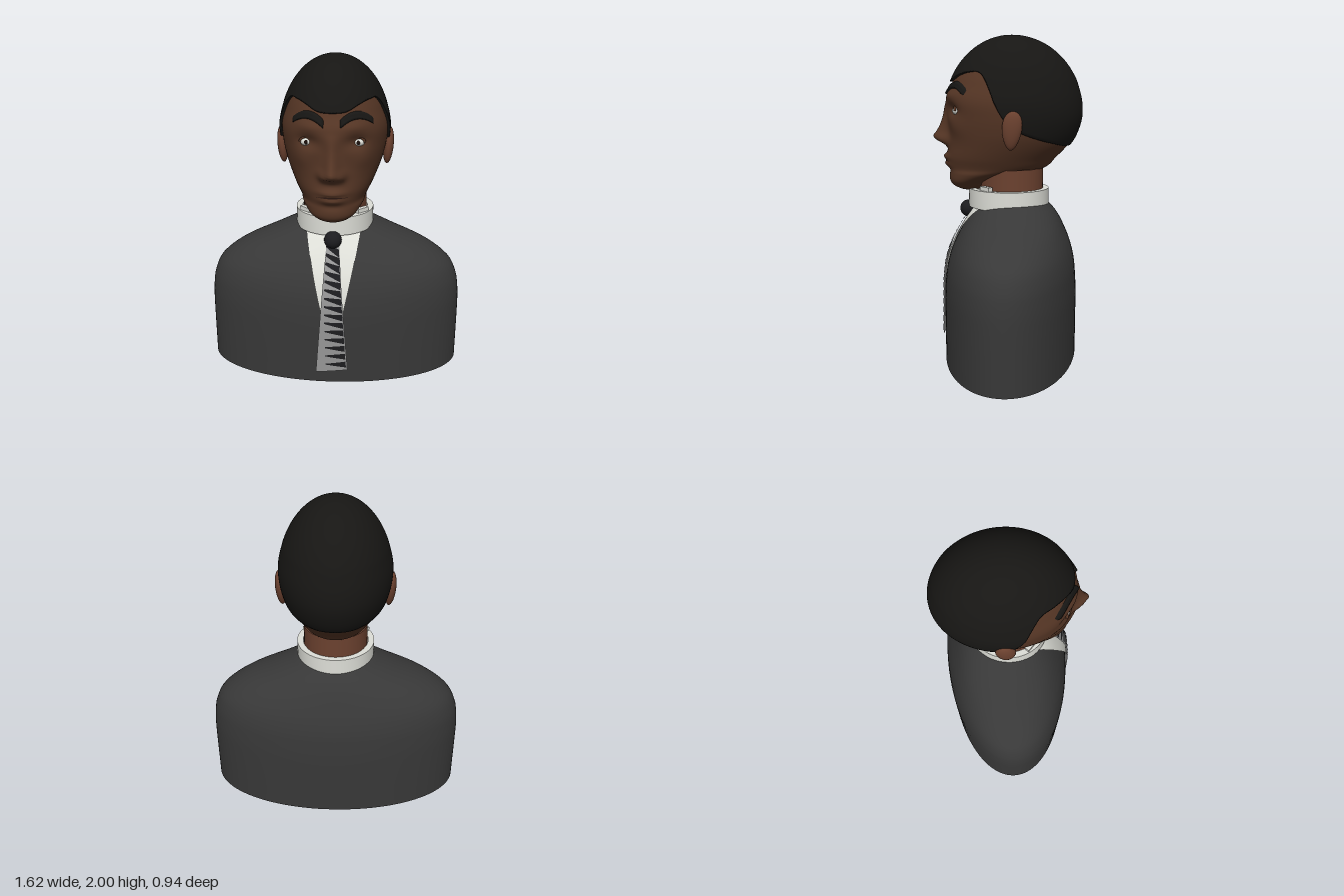
import * as THREE from 'three';
import { mergeVertices, toCreasedNormals } from 'three/addons/utils/BufferGeometryUtils.js';

const SKIN = 0x563625, EAR_SKIN = 0x6b412f, HAIR = 0x171614, JACKET = 0x383838;
const WHITE = 0xdedfd8, TIE = 0x969696, DARK = 0x1c1c1f;

// Cross-sections: [height, half width, front z, back z]
const HEAD = [
  [1.035, 0.01, 0.24, 0.21], [1.045, 0.06, 0.29, 0.17], [1.07, 0.105, 0.34, 0.14], [1.1, 0.14, 0.36, 0.11],
  [1.15, 0.185, 0.365, -0.08], [1.18, 0.2, 0.37, -0.23], [1.25, 0.238, 0.378, -0.31], [1.33, 0.275, 0.368, -0.385],
  [1.4, 0.3, 0.364, -0.425], [1.5, 0.32, 0.372, -0.453], [1.6, 0.323, 0.38, -0.45],
];
// Domed skull above the brow
for (let i = 0; i <= 12; i++) {
  const a = THREE.MathUtils.degToRad(24 + 5.5 * i), c = Math.cos(a);
  HEAD.push([1.52 + 0.465 * Math.sin(a), 0.326 * c, 0.405 * c - 0.03, -0.428 * c - 0.03]);
}
const TORSO = [
  [0, 0.81, 0.385, -0.445], [0.4, 0.81, 0.385, -0.445], [0.5, 0.805, 0.38, -0.44], [0.6, 0.787, 0.366, -0.43],
  [0.7, 0.735, 0.335, -0.405], [0.8, 0.6, 0.285, -0.365], [0.88, 0.42, 0.235, -0.325], [0.94, 0.29, 0.19, -0.28],
  [0.97, 0.225, 0.15, -0.24], [0.985, 0.12, 0.08, -0.16],
];
// Hairline height by angle from the front, in degrees
const HAIRLINE = [[0, 1.71], [15, 1.717], [30, 1.748], [45, 1.766], [62, 1.757], [74, 1.655], [85, 1.5],
  [103, 1.41], [150, 1.335], [180, 1.33]];

// Smooth interpolation of table column c at key k
function sample(rows, k, c) {
  const n = rows.length - 1;
  k = THREE.MathUtils.clamp(k, rows[0][0], rows[n][0]);
  let i = 0;
  while (i < n - 1 && k > rows[i + 1][0]) i++;
  const slope = j => {
    const a = rows[Math.max(j - 1, 0)], b = rows[Math.min(j + 1, n)];
    return (b[c] - a[c]) / (b[0] - a[0]);
  };
  const h = rows[i + 1][0] - rows[i][0], t = (k - rows[i][0]) / h, t2 = t * t, t3 = t2 * t;
  return (2 * t3 - 3 * t2 + 1) * rows[i][c] + (t3 - 2 * t2 + t) * h * slope(i)
    + (3 * t2 - 2 * t3) * rows[i + 1][c] + (t3 - t2) * h * slope(i + 1);
}

function section(rows, y) {
  const f = sample(rows, y, 2), b = sample(rows, y, 3);
  return { rx: Math.max(0, sample(rows, y, 1)), zc: (f + b) / 2, rz: Math.max(0, (f - b) / 2) };
}

// Surface patch from fn(u, v) -> [x, y, z]
function grid(nu, nv, fn) {
  const pos = [], index = [], w = nu + 1;
  for (let j = 0; j <= nv; j++) for (let i = 0; i <= nu; i++) pos.push(...fn(i / nu, j / nv));
  for (let j = 0; j < nv; j++) for (let i = 0; i < nu; i++) {
    const a = j * w + i;
    index.push(a, a + 1, a + w, a + 1, a + w + 1, a + w);
  }
  let g = new THREE.BufferGeometry();
  g.setAttribute('position', new THREE.Float32BufferAttribute(pos, 3));
  g.setIndex(index);
  g = mergeVertices(g, 1e-5);
  g.computeVertexNormals();
  return g;
}

const bump = (dx, wx, dy, wy) => Math.exp(-((dx / wx) ** 2) - (dy / wy) ** 2);

// Nose, sockets, brows, lips and chin as forward offsets of the face
const NOSE = [[1.3, 0], [1.325, 0.025], [1.352, 0.08], [1.378, 0.103], [1.41, 0.08], [1.46, 0.05], [1.52, 0.026], [1.6, 0]];
function relief(x, y) {
  const ax = Math.abs(x);
  const noseWidth = 0.035 + 0.02 * THREE.MathUtils.clamp((1.5 - y) / 0.14, 0, 1);
  return sample(NOSE, y, 1) * Math.exp(-((x / noseWidth) ** 2))
    + 0.024 * bump(ax - 0.055, 0.026, y - 1.355, 0.03)
    - 0.03 * bump(ax - 0.14, 0.065, y - 1.55, 0.04)
    + 0.012 * bump(ax - 0.13, 0.09, y - 1.64, 0.03)
    + 0.012 * bump(ax - 0.19, 0.06, y - 1.44, 0.06)
    + 0.024 * bump(x, 0.07, y - 1.252, 0.018)
    + 0.02 * bump(x, 0.065, y - 1.205, 0.018)
    - 0.01 * bump(x, 0.08, y - 1.165, 0.02);
}

function frontZ(rows, x, y) {
  const s = section(rows, y);
  return s.zc + s.rz * Math.sqrt(Math.max(0, 1 - (x / s.rx) ** 2));
}
const faceZ = (x, y) => frontZ(HEAD, x, y) + relief(x, y);

export function createModel() {
  const model = new THREE.Group();
  const add = (name, geometry, color, thin = false) => {
    const material = new THREE.MeshStandardMaterial({ color });
    if (thin) material.side = THREE.DoubleSide;
    const mesh = new THREE.Mesh(geometry, material);
    mesh.name = name;
    model.add(mesh);
    return mesh;
  };

  // Jacket shell, open at the bottom
  add('jacket', grid(96, 48, (u, v) => {
    const a = (u % 1) * Math.PI * 2, y = 0.985 * Math.sin(v * Math.PI / 2), s = section(TORSO, y);
    return [s.rx * Math.sin(a), y, s.zc + s.rz * Math.cos(a)];
  }), JACKET, true);

  // Shirt front, tapering downwards
  add('shirtFront', grid(16, 30, (u, v) => {
    const y = 0.4 + 0.56 * v, x = (u * 2 - 1) * (0.05 + 0.12 * v);
    return [x, y, frontZ(TORSO, x, y) + 0.01];
  }), WHITE, true);

  // Tie blade with tapered stripes that close up and slant towards the knot
  const tieHalf = y => THREE.MathUtils.lerp(0.1, 0.04, THREE.MathUtils.clamp((y - 0.08) / 0.8, 0, 1));
  const tieZ = (x, y) => frontZ(TORSO, x, y) + 0.02;
  add('tie', grid(8, 40, (u, v) => {
    const y = 0.08 + 0.02 * u * (1 - v) + 0.82 * v, x = (u * 2 - 1) * tieHalf(y);
    return [x, y, tieZ(x, y)];
  }), TIE, true);
  for (let i = 0; i < 15; i++) {
    const k = i / 14, y0 = 0.14 + 0.72 * k + 0.1 * k * (1 - k), reach = THREE.MathUtils.lerp(-0.4, -1, k);
    add('tieStripe', grid(6, 2, (u, v) => {
      const y = y0 + 0.04 * k * (0.5 - u) + (v - 0.5) * (0.006 + 0.036 * u + 0.01 * k * (1 - u));
      const x = THREE.MathUtils.lerp(reach, 0.92, u) * tieHalf(y);
      return [x, y, tieZ(x, y) + 0.003];
    }), DARK, true);
  }
  add('tieKnot', new THREE.SphereGeometry(0.054, 24, 16), DARK).position.set(0, 0.915, 0.245);

  // Collar band and its two raised ends inside it
  const ring = [[0.205, 0.94], [0.243, 0.94], [0.243, 1.055], [0.205, 1.055], [0.205, 0.94]];
  const band = new THREE.LatheGeometry(ring.map(p => new THREE.Vector2(...p)), 64);
  const collar = add('collar', toCreasedNormals(band, 0.6), WHITE);
  collar.scale.z = 1.04;
  collar.position.z = -0.012;
  for (const s of [-1, 1]) {
    const tab = add('collarEnd', new THREE.BoxGeometry(0.085, 0.07, 0.03), WHITE);
    tab.position.set(s * 0.172, 1.045, 0.115);
    tab.rotation.y = s * 0.75;
  }

  // Neck
  const neck = add('neck', new THREE.CylinderGeometry(0.198, 0.2, 0.27, 48), EAR_SKIN);
  neck.position.set(0, 1.05, -0.03);

  // Head with modelled face
  add('head', grid(128, 110, (u, v) => {
    const a = (u % 1) * Math.PI * 2, y = 1.51 - 0.475 * Math.cos(v * Math.PI), s = section(HEAD, y);
    const x = s.rx * Math.sin(a), c = Math.cos(a);
    return [x, y, s.zc + s.rz * c + relief(x, y) * THREE.MathUtils.clamp(c * 3, 0, 1)];
  }), SKIN);

  // Hair cap, an enlarged skull with its lower edge tucked into the skin
  add('hair', grid(120, 50, (u, v) => {
    const a = (u % 1) * Math.PI * 2, deg = Math.abs(THREE.MathUtils.radToDeg(a > Math.PI ? a - 2 * Math.PI : a));
    const low = sample(HAIRLINE, deg, 1), t = Math.max(0, (v - 0.02) / 0.98);
    const y = low + (1.985 - low) * Math.sin(t * Math.PI / 2), s = section(HEAD, y);
    const grow = v === 0 ? 0.95 : 1.05;
    const lift = 0.032 * Math.max(0, y - 1.52);
    return [s.rx * grow * Math.sin(a), y + lift, s.zc + s.rz * (grow - 0.01) * Math.cos(a)];
  }), HAIR, true);

  // Mouth line
  add('mouth', grid(20, 2, (u, v) => {
    const x = (u * 2 - 1) * 0.095, y = 1.229 - 0.006 * (x / 0.095) ** 2 + (v - 0.5) * 0.01 * (1 - (u * 2 - 1) ** 2);
    return [x, y, faceZ(x, y) + 0.003];
  }), 0x2e1a14, true);

  // Ear: egg shape, narrow at the lobe
  const earGeo = new THREE.SphereGeometry(1, 28, 20), p = earGeo.attributes.position;
  for (let i = 0; i < p.count; i++) {
    const y = p.getY(i);
    p.setXYZ(i, p.getX(i) * 0.032, y * 0.115, p.getZ(i) * 0.058 * (1 + 0.2 * y) - 0.008 * y);
  }
  earGeo.computeVertexNormals();

  for (const s of [-1, 1]) {
    const ear = add('ear', earGeo, EAR_SKIN);
    ear.position.set(s * 0.33, 1.437, -0.052);
    ear.rotation.z = -s * 0.08;

    // Eyeball and iris
    const ez = faceZ(s * 0.15, 1.543) - 0.01;
    const eye = add('eyeball', new THREE.SphereGeometry(0.036, 24, 16), WHITE);
    eye.position.set(s * 0.15, 1.543, ez);
    eye.scale.set(1, 0.72, 0.8);
    const iris = add('iris', new THREE.SphereGeometry(0.014, 16, 12), 0x1a100c);
    iris.position.set(s * 0.15, 1.543, ez + 0.022);
    iris.scale.z = 0.6;

    // Upper eyelid
    const lid = add('eyelid', new THREE.TorusGeometry(0.036, 0.008, 8, 20, Math.PI), SKIN);
    lid.position.set(s * 0.15, 1.543, ez + 0.01);
    lid.scale.y = 0.72;

    // Arched eyebrow following the forehead
    add('eyebrow', grid(24, 6, (u, v) => {
      const k = s > 0 ? u : 1 - u;
      const x = s * (0.045 + 0.19 * k), w = 0.052 * (1 - 0.35 * k * k);
      const y = 1.656 + 0.18 * k * (0.98 - k) + (v - 0.5) * w;
      const edge = v === 0 || v === 1 || u === 0 || u === 1;
      return [x, y, faceZ(x, y) + (edge ? -0.005 : 0.014)];
    }), HAIR, true);
  }
  return model;
}
